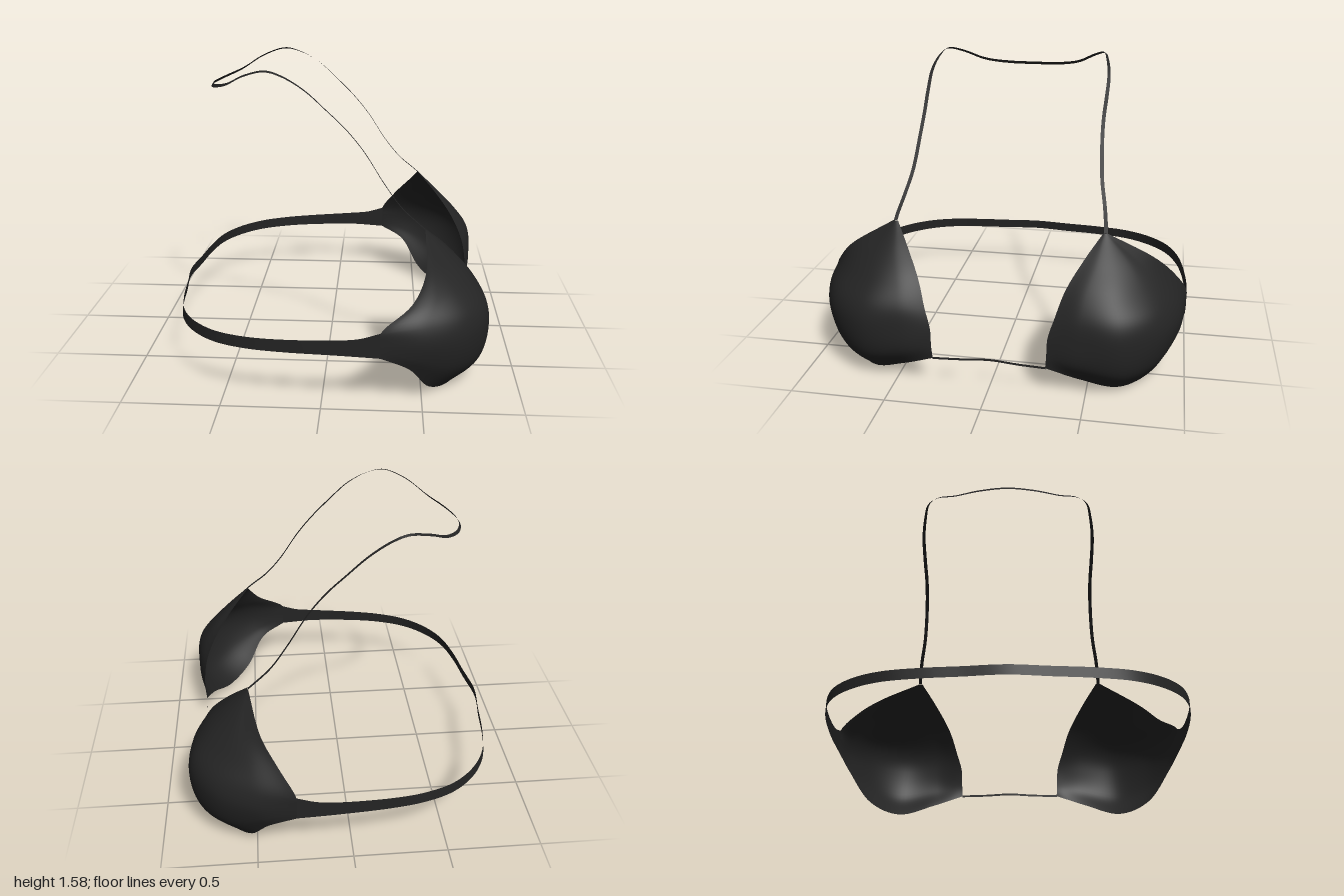
import * as THREE from 'three';

const fabric = new THREE.MeshStandardMaterial({ color: 0x242424, side: THREE.DoubleSide });
fabric.name = 'black fabric';

const curve = (pts) => new THREE.CatmullRomCurve3(pts.map((p) => new THREE.Vector3(...p)));

// Smooth sheet through rows of points; every row has the same point count.
function loft(name, rows, nu, nv) {
  const curves = rows.map(curve);
  const pos = [], index = [];
  for (let i = 0; i <= nu; i++) {
    const column = new THREE.CatmullRomCurve3(curves.map((c) => c.getPoint(i / nu)));
    for (let j = 0; j <= nv; j++) pos.push(...column.getPoint(j / nv).toArray());
  }
  for (let i = 0; i < nu; i++) {
    for (let j = 0; j < nv; j++) {
      const a = i * (nv + 1) + j, b = a + nv + 1;
      index.push(a, a + 1, b, b, a + 1, b + 1);
    }
  }
  const geo = new THREE.BufferGeometry();
  geo.setAttribute('position', new THREE.Float32BufferAttribute(pos, 3));
  geo.setIndex(index);
  geo.computeVertexNormals();
  const mesh = new THREE.Mesh(geo, fabric);
  mesh.name = name;
  return mesh;
}

// Cup cross-sections from strap apex to lower hem, each from centre edge to side edge.
const cupRows = [
  [[0.51, 0.79, 0.545], [0.512, 0.79, 0.55], [0.513, 0.79, 0.555], [0.513, 0.79, 0.56], [0.512, 0.79, 0.565], [0.51, 0.79, 0.57]],
  [[0.62, 0.68, 0.46], [0.645, 0.665, 0.53], [0.63, 0.662, 0.61], [0.59, 0.655, 0.69], [0.55, 0.65, 0.75], [0.505, 0.64, 0.81]],
  [[0.72, 0.55, 0.38], [0.75, 0.55, 0.49], [0.74, 0.545, 0.63], [0.66, 0.54, 0.76], [0.56, 0.53, 0.85], [0.44, 0.525, 0.91]],
  [[0.78, 0.42, 0.335], [0.82, 0.43, 0.47], [0.82, 0.43, 0.66], [0.71, 0.43, 0.83], [0.51, 0.43, 0.94], [0.29, 0.408, 0.988]],
  [[0.80, 0.32, 0.305], [0.84, 0.32, 0.47], [0.84, 0.32, 0.67], [0.72, 0.33, 0.85], [0.52, 0.34, 0.958], [0.29, 0.36, 0.99]],
  [[0.805, 0.22, 0.30], [0.83, 0.19, 0.46], [0.80, 0.14, 0.68], [0.68, 0.165, 0.84], [0.48, 0.25, 0.955], [0.29, 0.315, 0.99]],
  [[0.80, 0.15, 0.295], [0.76, 0.08, 0.47], [0.66, 0.0, 0.67], [0.54, 0.045, 0.83], [0.43, 0.20, 0.945], [0.29, 0.275, 0.988]],
];

function cup(name, side) {
  const rows = cupRows.map((row) => row.map(([x, y, z]) => [x, y, z * side]));
  // The right cup's side edge is cut slightly further back.
  if (side < 0) {
    rows[1][4] = [0.53, 0.655, -0.745];
    rows[1][5] = [0.455, 0.66, -0.80];
    rows[2][4] = [0.52, 0.545, -0.86];
    rows[2][5] = [0.375, 0.545, -0.91];
  }
  return loft(name, rows, 40, 42);
}

// Half path from the front to the back centre, completed by mirroring in z.
function mirrored(half) {
  const other = half.slice(0, -1).reverse().map(([x, y, z]) => [x, y, -z]);
  return [...half, ...other];
}

export function createModel() {
  const model = new THREE.Group();
  model.name = 'halterTop';
  model.add(cup('leftCup', 1), cup('rightCup', -1));

  // Back band: x, z, upper edge, lower edge
  const band = [
    [0.29, 0.988, 0.408, 0.275], [0.19, 0.99, 0.378, 0.281], [0.085, 0.99, 0.367, 0.286],
    [-0.20, 0.966, 0.352, 0.285], [-0.38, 0.93, 0.345, 0.282], [-0.54, 0.862, 0.340, 0.279],
    [-0.67, 0.745, 0.336, 0.276], [-0.755, 0.60, 0.332, 0.274], [-0.80, 0.41, 0.329, 0.272],
    [-0.823, 0.21, 0.327, 0.271], [-0.848, 0, 0.325, 0.27],
  ];
  model.add(loft('backBand', [
    mirrored(band.map(([x, z, top]) => [x < 0 ? x * 0.992 : x, top, z])),
    mirrored(band.map(([x, z, , low]) => [x, low, z])),
  ], 120, 2));

  // Neck strap: centre line plus half-width; the ribbon twists upright behind the neck
  const neck = [
    [0.51, 0.79, 0.558, 0], [0.475, 0.82, 0.555, 0], [0.39, 0.895, 0.54, 0], [0.30, 1.01, 0.515, 0],
    [0.19, 1.18, 0.50, 0], [0.095, 1.295, 0.497, 0], [0, 1.388, 0.502, 0], [-0.11, 1.488, 0.503, 0.1],
    [-0.22, 1.552, 0.485, 0.25], [-0.31, 1.576, 0.462, 0.45], [-0.43, 1.543, 0.395, 0.65],
    [-0.54, 1.48, 0.285, 0.85], [-0.63, 1.448, 0.15, 1], [-0.665, 1.44, 0, 1],
  ];
  const neckEdge = (s) => mirrored(neck.map(([x, y, z, t]) =>
    [x + s * 0.006 * t, y + s * 0.009 * t, z - s * 0.01 * (1 - t)]));
  model.add(loft('neckStrap', [neckEdge(1), neckEdge(-1)], 160, 2));

  // Thin cord joining the cups at the lower centre
  const cordEdge = (dy) => mirrored([[0.80, 0.15 + dy, 0.297], [0.79, 0.151 + dy, 0.15], [0.78, 0.156 + dy, 0]]);
  model.add(loft('frontCord', [cordEdge(0.006), cordEdge(-0.006)], 24, 1));

  return model;
}
